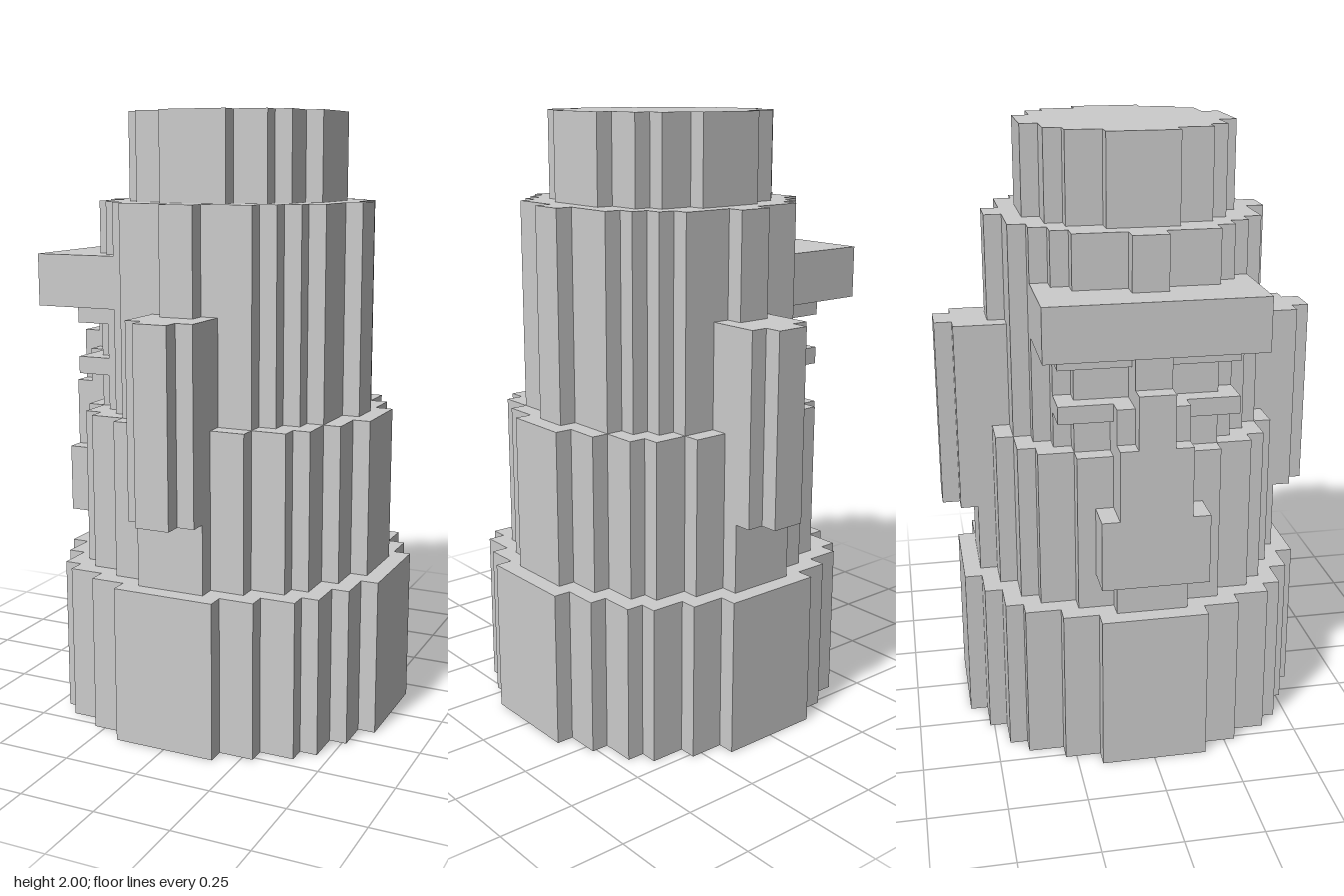
import * as THREE from 'three';

const U = 2 / 35; // size of one block
const material = new THREE.MeshStandardMaterial({ color: 0xcccccc, flatShading: true });

// Stepped disc: all blocks whose centre lies within sqrt(limit) of the axis
function steppedTier(name, limit, y0, y1) {
  const width = (j) => {
    let n = 0;
    while ((n + 0.5) ** 2 + (j + 0.5) ** 2 <= limit) n++;
    return n;
  };
  let rows = 0;
  while (width(rows) > 0) rows++;
  const right = [];
  for (let j = -rows; j < rows; j++) {
    const w = width(j);
    right.push(new THREE.Vector2(w * U, j * U), new THREE.Vector2(w * U, (j + 1) * U));
  }
  const left = right.map((p) => new THREE.Vector2(-p.x, p.y)).reverse();
  const geometry = new THREE.ExtrudeGeometry(new THREE.Shape([...right, ...left]), {
    depth: (y1 - y0) * U,
    bevelEnabled: false,
  });
  geometry.rotateX(-Math.PI / 2).translate(0, y0 * U, 0);
  const mesh = new THREE.Mesh(geometry, material);
  mesh.name = name;
  return mesh;
}

// Box given by its limits in blocks
function block(name, x0, x1, y0, y1, z0, z1) {
  const geometry = new THREE.BoxGeometry((x1 - x0) * U, (y1 - y0) * U, (z1 - z0) * U);
  geometry.translate(((x0 + x1) / 2) * U, ((y0 + y1) / 2) * U, ((z0 + z1) / 2) * U);
  const mesh = new THREE.Mesh(geometry, material);
  mesh.name = name;
  return mesh;
}

export function createModel() {
  const model = new THREE.Group();
  model.name = 'carvedTower';

  // Round body in four tiers
  model.add(
    steppedTier('base', 100, 0, 9),
    steppedTier('lowerBody', 75, 9, 18),
    steppedTier('upperBody', 57, 18, 30),
    steppedTier('top', 36, 30, 35),
  );

  // Ears on the front and back
  for (const s of [-1, 1]) {
    const ear = new THREE.Group();
    ear.name = s > 0 ? 'frontEar' : 'backEar';
    const z = (a, b) => (s > 0 ? [a, b] : [-b, -a]);
    ear.add(block('earBody', -2, 2, 13, 24, ...z(6, 10)));
    ear.add(block('earRidge', -1, 1, 13, 24, ...z(9, 11)));
    model.add(ear);

    // Eyelids on the face side
    model.add(block('upperEyelid', -8, -5, 23, 24, ...z(1, 5)));
    model.add(block('lowerEyelid', -8, -5, 20, 21, ...z(1, 5)));
  }

  // Brow ledge and stepped nose
  model.add(
    block('brow', -10, -3, 24, 27, -6, 6),
    block('noseBridge', -9, -6, 18, 24, -1, 1),
    block('noseRoot', -9, -6, 17, 21, -2, 2),
    block('noseUpper', -10, -7, 19, 22, -1, 1),
    block('noseMiddle', -10, -7, 15, 19, -2, 2),
    block('noseTip', -10, -7, 11, 15, -3, 3),
  );
  return model;
}
